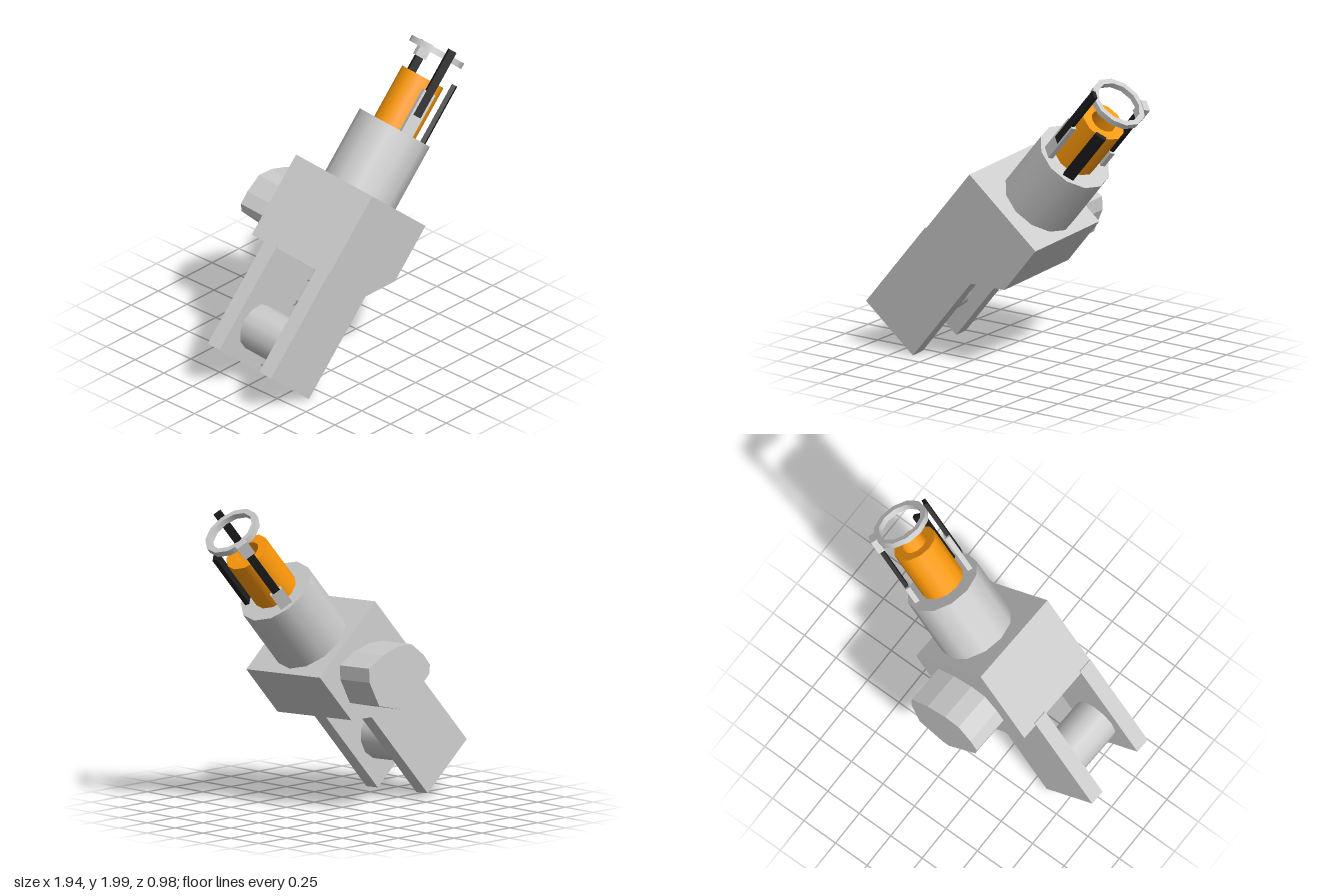
import * as THREE from 'three';

const mat = (color) => new THREE.MeshStandardMaterial({ color });

export function createModel() {
  const model = new THREE.Group();
  model.name = 'model';
  const grey = mat(0xcccccc), dark = mat(0x1c1c1c), orange = mat(0xff9a0a);

  // tilted frame: x across the arm, y along it, z out of its front face
  const arm = new THREE.Group();
  arm.name = 'arm';
  const n = new THREE.Vector3(-0.027, -0.055, 1).normalize();
  const a = new THREE.Vector3(0.644, 0.763, 0.059);
  a.addScaledVector(n, -a.dot(n)).normalize();
  const b = new THREE.Vector3().crossVectors(a, n);
  arm.quaternion.setFromRotationMatrix(new THREE.Matrix4().makeBasis(b, a, n));
  arm.position.set(-0.972, 0.302, 0.41);
  model.add(arm);

  const add = (name, geometry, material = grey, x = 0, y = 0, z = 0) => {
    const mesh = new THREE.Mesh(geometry, material);
    mesh.name = name;
    mesh.position.set(x, y, z);
    arm.add(mesh);
    return mesh;
  };
  const extrude = (points, depth) => new THREE.ExtrudeGeometry(
    new THREE.Shape(points.map(([x, y]) => new THREE.Vector2(x, y))),
    { depth, bevelEnabled: false });

  // main block with one chamfered corner
  add('block', extrude([[0, 0.74], [0.455, 0.74], [0.66, 0.92], [0.66, 1.32], [0, 1.32]], 0.68),
    grey, 0, 0, -0.68);

  // fork prongs and the pin between them
  for (const [name, z] of [['frontProng', -0.0525], ['rearProng', -0.5125]]) {
    add(name, new THREE.BoxGeometry(0.468, 0.76, 0.105), grey, 0.226, 0.38, z);
  }
  const pin = add('forkPin', new THREE.CylinderGeometry(0.155, 0.155, 0.4, 12), grey, 0.225, 0.245, -0.283);
  pin.rotation.x = Math.PI / 2;

  // oblong boss on the rear of the block
  const boss = add('rearBoss', extrude([
    [0.265, 0.09], [0.14, 0.16], [0, 0.2], [-0.11, 0.2], [-0.21, 0.12], [-0.265, 0.05],
    [-0.255, -0.01], [-0.05, -0.2], [0, -0.205], [0.19, -0.16], [0.265, 0],
  ], 0.28), grey, 0.344, 1.01, -0.95);
  boss.rotation.z = Math.atan2(0.644, 0.764);

  // barrel
  const ax = 0.36, az = -0.365;
  add('barrel', new THREE.CylinderGeometry(0.255, 0.255, 0.47, 12), grey, ax, 1.537, az);

  // hollow tubes: separate walls and end faces keep the edges sharp
  const tube = (name, rIn, rOut, y0, y1, material) => {
    const walls = [[rOut, y0, rOut, y1], [rOut, y1, rIn, y1], [rIn, y1, rIn, y0], [rIn, y0, rOut, y0]];
    for (const [r0, h0, r1, h1] of walls) {
      add(name, new THREE.LatheGeometry(
        [new THREE.Vector2(r0, h0), new THREE.Vector2(r1, h1)], 12), material, ax, 0, az);
    }
  };
  tube('innerTube', 0.085, 0.15, 1.76, 2.14, orange);
  tube('endRing', 0.152, 0.19, 2.3, 2.34, grey);

  // strips set around the tube, lying tangent to it
  const strip = (name, degrees, radius, width, thick, y0, y1, material) => {
    const t = degrees * Math.PI / 180;
    const mesh = add(name, new THREE.BoxGeometry(thick, y1 - y0, width), material,
      ax + radius * Math.cos(t), (y0 + y1) / 2, az + radius * Math.sin(t));
    mesh.rotation.y = -t;
  };
  strip('longBracket', 120, 0.198, 0.088, 0.034, 1.76, 2.075, grey);
  strip('longRod', 120, 0.205, 0.055, 0.026, 1.9, 2.375, dark);
  strip('freeRod', 60, 0.203, 0.075, 0.03, 1.76, 2.19, dark);
  strip('shortBracket', -60, 0.198, 0.088, 0.034, 1.76, 1.9, grey);
  strip('shortRod', -60, 0.2, 0.055, 0.026, 1.85, 2.28, dark);
  strip('ringLug', -60, 0.198, 0.08, 0.045, 2.24, 2.345, grey);

  return model;
}
